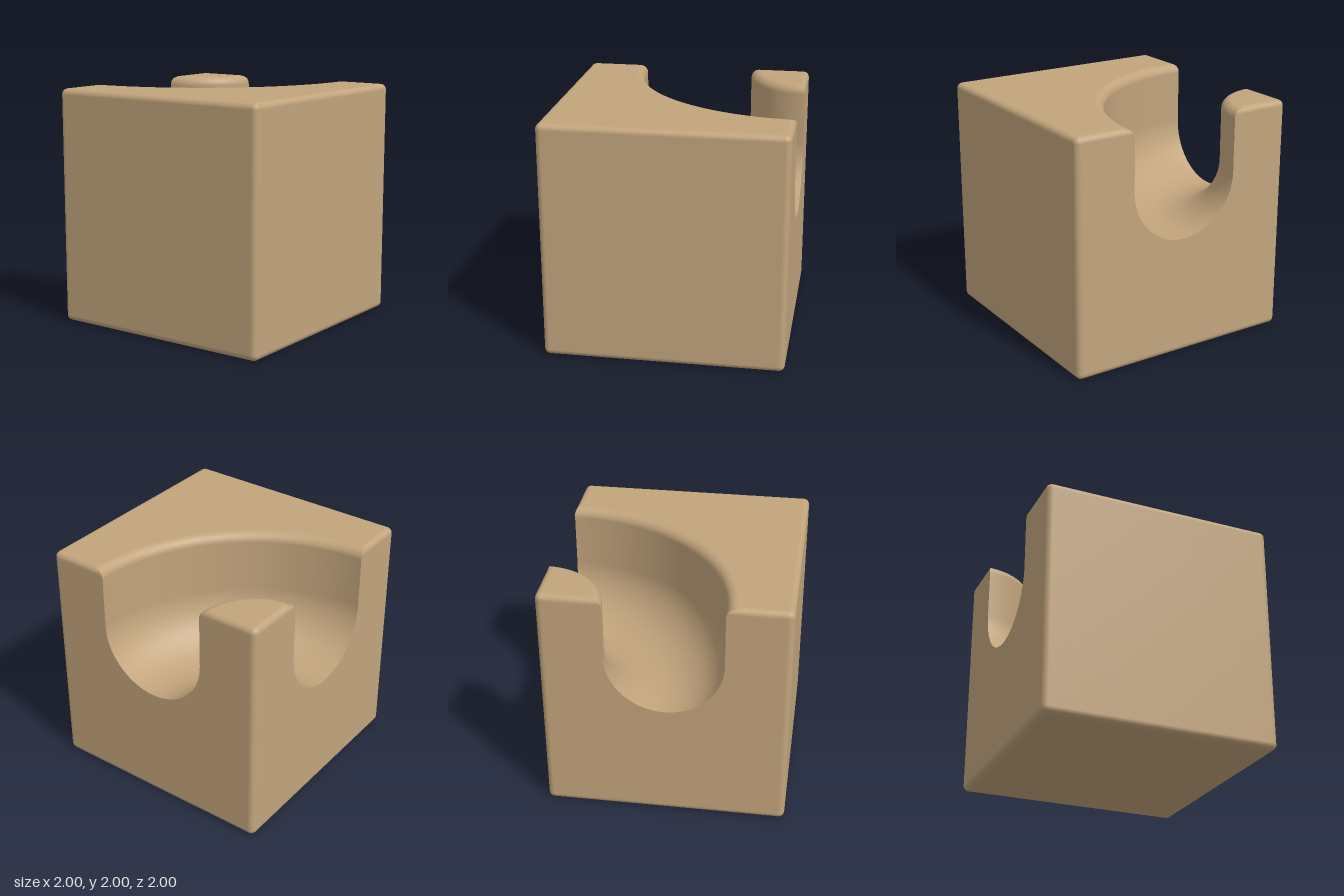
import * as THREE from 'three';

const EDGE = 0.05;            // rounding of the block's edges
const HALF = 0.48, LIP = 0.08; // groove half width, rounding of its lip
const FLOOR = 1.48;           // height where the groove's straight walls end

// Sample distances 0..2 along a side, denser near both ends
const near = [0, 0.01, 0.02, 0.03, 0.04, 0.05, 0.07, 0.1, 0.15];
const mid = Array.from({ length: 17 }, (_, i) => 0.2 + i * 0.1);
const C = [...near, ...mid, ...near.map((d) => 2 - d).reverse()];

// Matching angles 0..90 degrees around the corner the groove circles
const half = C.map((c) => Math.atan(c / 2));
const T = [...half, ...half.slice(0, -1).reverse().map((t) => Math.PI / 2 - t)];

// Groove profile as [radius, height, normal r, normal y]
const lip = Array.from({ length: 9 }, (_, i) => {
  const a = (i / 8) * Math.PI / 2, s = Math.sin(a), c = Math.cos(a);
  return [1 - HALF - LIP + LIP * s, 2 - LIP + LIP * c, s, c];
});
const bowl = Array.from({ length: 41 }, (_, i) => {
  const b = (i / 40) * Math.PI, s = Math.sin(b), c = Math.cos(b);
  return [1 - HALF * c, FLOOR - HALF * s, c, s];
});
const profile = [...lip, ...bowl, ...lip.map(([r, y, nr, ny]) => [2 - r, y, -nr, ny]).reverse()];

// Pulls a point of the sharp block onto the rounded block
function roundOff(p) {
  const lim = 1 - EDGE;
  const q = new THREE.Vector3(p.x, p.y - 1, p.z).clampScalar(-lim, lim);
  q.y += 1;
  const d = p.clone().sub(q), len = d.length();
  if (len > EDGE) d.multiplyScalar(EDGE / len);
  return { point: q.add(d), normal: d.clone().normalize() };
}

// Grid surfaces gathered into one geometry
function createSurface() {
  const pos = [], nor = [], index = [];
  const a = new THREE.Vector3(), b = new THREE.Vector3(), c = new THREE.Vector3(), n = new THREE.Vector3();
  const tri = (i, j, k) => {
    a.fromArray(pos, i * 3);
    b.fromArray(pos, j * 3).sub(a);
    c.fromArray(pos, k * 3).sub(a);
    const f = b.cross(c);
    if (f.length() < 1e-12) return;
    n.set(0, 0, 0);
    for (const v of [i, j, k]) n.add(a.fromArray(nor, v * 3));
    if (f.dot(n) > 0) index.push(i, j, k);
    else index.push(i, k, j);
  };
  return {
    patch(us, vs, place, normalAt) {
      const start = pos.length / 3, w = vs.length;
      for (const u of us) for (const v of vs) {
        const { point, normal } = roundOff(new THREE.Vector3(...place(u, v)));
        pos.push(point.x, point.y, point.z);
        nor.push(...(normalAt ? normalAt(u, v) : normal.toArray()));
      }
      for (let i = 0; i < us.length - 1; i++) for (let j = 0; j < w - 1; j++) {
        const k = start + i * w + j;
        tri(k, k + w, k + 1);
        tri(k + 1, k + w, k + w + 1);
      }
    },
    build() {
      const g = new THREE.BufferGeometry();
      g.setAttribute('position', new THREE.Float32BufferAttribute(pos, 3));
      g.setAttribute('normal', new THREE.Float32BufferAttribute(nor, 3));
      g.setIndex(index);
      return g;
    },
  };
}

const polar = (r, y, t) => [-1 + r * Math.cos(t), y, -1 + r * Math.sin(t)];

export function createModel() {
  const wood = new THREE.MeshStandardMaterial({ color: 0xc2a47c });
  wood.name = 'wood';
  const group = new THREE.Group();
  group.name = 'grooveBlock';
  const add = (name, surface) => {
    const mesh = new THREE.Mesh(surface.build(), wood);
    mesh.name = name;
    group.add(mesh);
  };

  // Plain sides: bottom, front, right
  const plain = createSurface();
  plain.patch(C, C, (u, v) => [u - 1, 0, v - 1]);
  plain.patch(C, C, (u, v) => [u - 1, v, 1]);
  plain.patch(C, C, (u, v) => [1, v, u - 1]);
  add('plainSides', plain);

  // Top of the corner post and top around the groove
  const top = createSurface();
  const inner = 1 - HALF - LIP, outer = 1 + HALF + LIP;
  top.patch(T, C, (t, c) => polar(inner * c / 2, 2, t));
  top.patch(T, C, (t, c) => {
    const reach = 2 / Math.max(Math.cos(t), Math.sin(t));
    return polar(outer + (reach - outer) * c / 2, 2, t);
  });
  add('top', top);

  // Two sides cut open by the groove
  const cut = createSurface();
  const shoulder = C.map((c) => [(1 - HALF) * c / 2, FLOOR]);
  const ceiling = [...shoulder, ...bowl, ...shoulder.map(([r, y]) => [2 - r, y]).reverse()];
  for (const side of [(r, y) => [r - 1, y, -1], (r, y) => [-1, y, r - 1]]) {
    cut.patch(ceiling, C, ([r, h], c) => side(r, h * c / 2));
    const walls = [...lip, bowl[0]];
    cut.patch(walls, C, ([r, y], c) => side(r * c / 2, y));
    cut.patch(walls, C, ([r, y], c) => side(2 - r * c / 2, y));
  }
  add('cutSides', cut);

  // Quarter-turn groove with rounded lips
  const groove = createSurface();
  groove.patch(T, profile, (t, [r, y]) => polar(r, y, t),
    (t, [, , nr, ny]) => [nr * Math.cos(t), ny, nr * Math.sin(t)]);
  add('groove', groove);

  return group;
}
